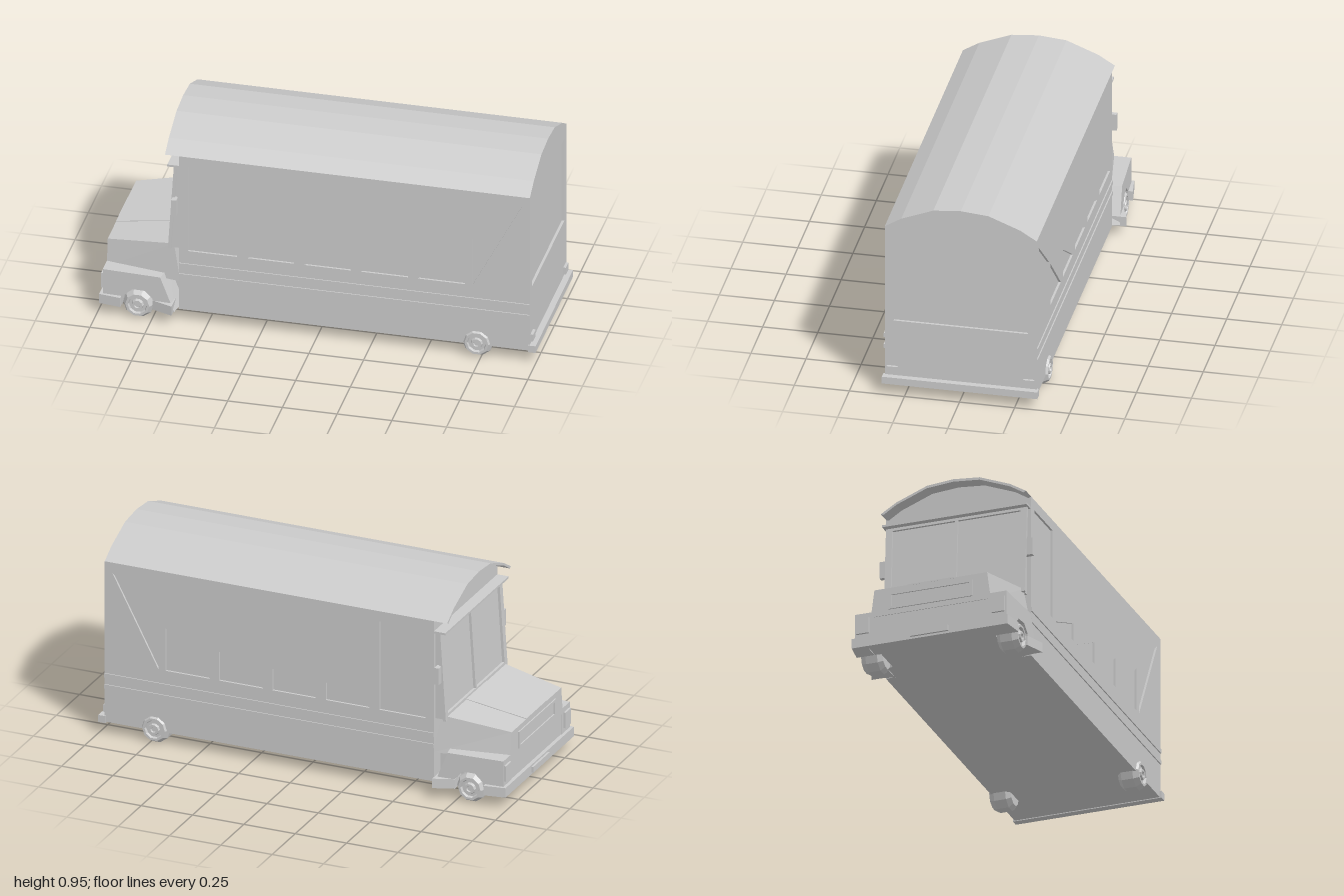
import * as THREE from 'three';

const mat = new THREE.MeshStandardMaterial({ color: 0xcccccc, flatShading: true, side: THREE.DoubleSide });

export function createModel() {
  const model = new THREE.Group();

  const add = (name, geo, x = 0, y = 0, z = 0) => {
    const m = new THREE.Mesh(geo, mat);
    m.name = name;
    m.position.set(x, y, z);
    model.add(m);
    return m;
  };
  // box given by its limits
  const box = (name, x0, x1, y0, y1, z0, z1) =>
    add(name, new THREE.BoxGeometry(x1 - x0, y1 - y0, z1 - z0), (x0 + x1) / 2, (y0 + y1) / 2, (z0 + z1) / 2);
  const shapeOf = (pts, holes = []) => {
    const s = new THREE.Shape(pts.map(p => new THREE.Vector2(...p)));
    holes.forEach(h => s.holes.push(new THREE.Path(h.map(p => new THREE.Vector2(...p)))));
    return s;
  };
  const rect = (a0, a1, b0, b1) => [[a0, b0], [a1, b0], [a1, b1], [a0, b1]];
  const extrude = (shape, depth) => new THREE.ExtrudeGeometry(shape, { depth, bevelEnabled: false });
  // outline in (z, y), pushed along x
  const extrudeX = (shape, x0, x1) => extrude(shape, x1 - x0).rotateY(Math.PI / 2).translate(x0, 0, 0);
  const warp = (geo, fn) => {
    const p = geo.attributes.position, v = new THREE.Vector3();
    for (let i = 0; i < p.count; i++) {
      v.fromBufferAttribute(p, i);
      fn(v);
      p.setXYZ(i, v.x, v.y, v.z);
    }
    geo.computeVertexNormals();
    return geo;
  };

  // arched cross-section, lowered and narrowed by d
  const arch = d => {
    const half = [[0.345 - d, 0.838 - d / 2], [0.27, 0.884 - d], [0.125, 0.941 - d]];
    return [...half, [0, 0.952 - d], ...half.map(([z, y]) => [-z, y]).reverse()];
  };
  const wall = d => [[-0.345 + d, 0.06], [0.345 - d, 0.06], ...arch(d)];

  // body core, with cut-out skins around it
  add('bodyCore', extrudeX(shapeOf(wall(0.01)), -0.63, 0.96));
  add('rearWall', extrudeX(shapeOf(wall(0), [rect(-0.305, 0.305, 0.365, 0.782)]), 0.96, 0.972));
  add('roof', extrudeX(shapeOf([...arch(0), ...arch(0.012).reverse()]), -0.695, 0.972));

  const windows = [
    rect(-0.59, -0.365, 0.36, 0.788),
    [[0.71, 0.36], [0.935, 0.788], [0.71, 0.595]],
    ...[0.445, 0.465, 0.5, 0.565].map((y, i) => {
      const x = -0.32 + i * 0.26;
      return [[x, 0.36], [x + 0.215, 0.36], [x + 0.215, y]];
    }),
  ];
  const sideWall = shapeOf(rect(-0.63, 0.965, 0.06, 0.838), windows);

  // wheel profile: chamfered tyre, sunken rim and hub (axis along z after turning)
  const wheelGeo = new THREE.LatheGeometry([
    [0, -0.05], [0.05, -0.05], [0.07, -0.03], [0.07, 0.025], [0.055, 0.05],
    [0.044, 0.05], [0.04, 0.038], [0.028, 0.038], [0.024, 0.052], [0.014, 0.052], [0.012, 0.044], [0, 0.044],
  ].map(p => new THREE.Vector2(...p)), 10).rotateX(Math.PI / 2).rotateZ(Math.PI / 10);

  // fender side profile with wheel opening
  const fenderPts = [[-0.975, 0.06], [-0.975, 0.225], [-0.71, 0.225], [-0.645, 0.06], [-0.735, 0.06],
    [-0.745, 0.11], [-0.78, 0.145], [-0.84, 0.145], [-0.875, 0.11], [-0.885, 0.06]];

  for (const s of [1, -1]) {
    const side = s > 0 ? 'left' : 'right';
    add(side + 'SideWall', extrude(sideWall, 0.012), 0, 0, s > 0 ? 0.333 : -0.345);
    for (const [y0, y1] of [[0.222, 0.242], [0.276, 0.296]])
      box(side + 'TrimStrip', -0.63, 0.972, y0, y1, s * 0.345 - 0.005, s * 0.345 + 0.005);

    for (const [name, x, z] of [['FrontWheel', -0.815, 0.322], ['RearWheel', 0.73, 0.305]]) {
      const w = add(side + name, wheelGeo, x, 0.068, s * z);
      if (s < 0) w.rotation.y = Math.PI;
    }

    // fender, widening towards the rear
    add(side + 'Fender', warp(extrude(shapeOf(fenderPts), 1), v => {
      const t = (v.x + 0.975) / 0.33;
      if (v.z > 0.5) v.z = 0.36 + 0.018 * t;
      else {
        v.z = 0.27;
        if (v.x > -0.72) v.x += 0.02;
      }
      v.z *= s;
    }));
    // low bands before and behind the wheel
    for (const [name, x0, x1, a, b] of [['BumperEnd', -0.99, -0.89, 0.37, 0.385], ['FenderStep', -0.745, -0.65, 0.372, 0.407]])
      add(side + name, warp(new THREE.BoxGeometry(1, 1, 1), v => {
        const back = v.x > 0;
        v.set(back ? x1 : x0, v.y > 0 ? 0.102 : 0.056, s * (v.z > 0 ? (back ? b : a) : 0.3));
      }));

    box(side + 'Headlight', -0.985, -0.97, 0.125, 0.2, s * 0.322 - 0.03, s * 0.322 + 0.03);
    box(side + 'Mirror', -0.662, -0.64, 0.54, 0.62, s * 0.345 - 0.018, s * 0.345 + 0.018);
    box(side + 'TailLight', 0.965, 0.984, 0.102, 0.137, s * 0.31 - 0.025, s * 0.31 + 0.025);
  }

  // nose and sloping hood
  box('noseBase', -0.972, -0.88, 0.06, 0.225, -0.3, 0.3);
  box('noseCentre', -0.972, -0.62, 0.06, 0.225, -0.272, 0.272);
  add('hood', warp(new THREE.BoxGeometry(1, 1, 1), v => {
    const rear = v.x > 0, top = v.y > 0, s = Math.sign(v.z);
    if (rear) v.set(top ? -0.66 : -0.625, top ? 0.376 : 0.2, s * (top ? 0.32 : 0.343));
    else v.set(-0.975, top ? 0.33 : 0.2, s * (top ? 0.268 : 0.285));
  }));
  add('hoodPanel', warp(new THREE.BoxGeometry(0.295, 0.006, 0.22).translate(-0.828, 0, 0),
    v => { v.y += 0.33 + (v.x + 0.975) * 0.146; }));
  add('grille', extrudeX(shapeOf(rect(-0.2, 0.2, 0.225, 0.305), [rect(-0.185, 0.185, 0.237, 0.293)]), -0.981, -0.97));
  box('frontBumper', -0.99, -0.96, 0.056, 0.102, -0.37, 0.37);
  box('numberPlate', -1, -0.985, 0.066, 0.094, -0.09, 0.09);
  box('rearBumper', 0.965, 1, 0.056, 0.09, -0.353, 0.353);

  // cab front: raked block, split windscreen frame and visor
  const rake = v => { v.x += (v.y - 0.36) * 0.065; };
  add('cab', warp(new THREE.BoxGeometry(0.05, 0.425, 0.65).translate(-0.647, 0.572, 0), rake));
  add('windscreenFrame', warp(extrudeX(shapeOf(rect(-0.335, 0.335, 0.355, 0.785),
    [rect(-0.305, -0.006, 0.385, 0.765), rect(0.006, 0.305, 0.385, 0.765)]), -0.684, -0.67), rake));
  box('visor', -0.685, -0.625, 0.778, 0.788, -0.343, 0.343);

  return model;
}
